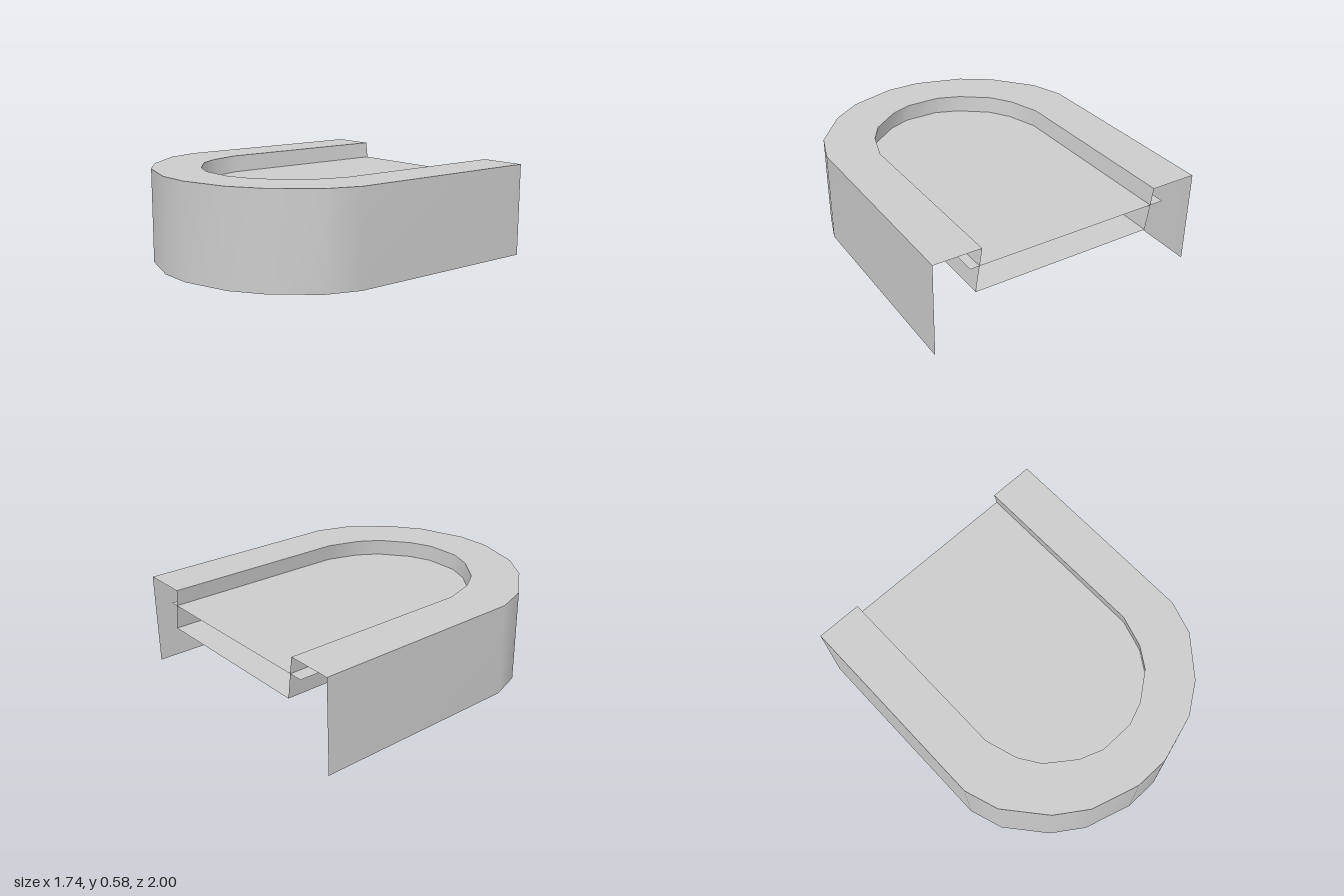
import * as THREE from 'three';

const H = 0.585, PANEL_Y = 0.48, FLOOR_Y = 0.32, SHEAR = 0.04;

// Right half of each U outline as [x, z], from the back end to the front
const OUTER = [[0.87, -1], [0.87, 0.33], [0.8, 0.54], [0.6, 0.78], [0.41, 0.91], [0.11, 1]];
const INNER = [[0.577, -1], [0.577, 0.19], [0.515, 0.39], [0.43, 0.52], [0.255, 0.65], [0.11, 0.705]];
const PANEL = [[0.65, -1], [0.65, 0.22], [0.585, 0.43], [0.47, 0.585], [0.3, 0.715], [0.11, 0.775]];

// Full U from the left end of the drawing round the front to the other end
const outline = (half, dx = 0) => [
  ...half.map(([x, z]) => [dx - x, z]),
  ...half.slice().reverse().map(([x, z]) => [dx + x, z]),
];

const material = new THREE.MeshStandardMaterial({ color: 0xcccccc, side: THREE.DoubleSide });

function addMesh(group, name, geometry) {
  const mesh = new THREE.Mesh(geometry, material);
  mesh.name = name;
  group.add(mesh);
}

// Ribbon of quads between two outlines at two heights
function ribbon(a, ya, b, yb) {
  const pos = [], index = [];
  a.forEach(([x, z], i) => {
    pos.push(x, ya, z, b[i][0], yb, b[i][1]);
    if (i < a.length - 1) {
      const k = 2 * i;
      index.push(k, k + 2, k + 3, k, k + 3, k + 1);
    }
  });
  const g = new THREE.BufferGeometry();
  g.setAttribute('position', new THREE.Float32BufferAttribute(pos, 3));
  g.setIndex(index);
  g.computeVertexNormals();
  return g;
}

// Flat sheet filling an outline
function sheet(points, y) {
  const shape = new THREE.Shape(points.map(([x, z]) => new THREE.Vector2(x, -z)));
  return new THREE.ShapeGeometry(shape).rotateX(-Math.PI / 2).translate(0, y, 0);
}

export function createModel() {
  const group = new THREE.Group();
  group.name = 'recessedUShapedBase';
  const outer = outline(OUTER), inner = outline(INNER), lowered = outline(INNER, SHEAR);

  // Shell, open at the back and underneath
  addMesh(group, 'outerWall', ribbon(outer, 0, outer, H));
  addMesh(group, 'topRim', ribbon(outer, H, inner, H));

  // Recess wall leans sideways down to its own floor
  addMesh(group, 'recessWall', ribbon(inner, H, lowered, FLOOR_Y));
  addMesh(group, 'recessFloor', sheet(lowered, FLOOR_Y));

  // Wider sheet crossing the recess wall
  addMesh(group, 'insetPanel', sheet(outline(PANEL), PANEL_Y));
  return group;
}
